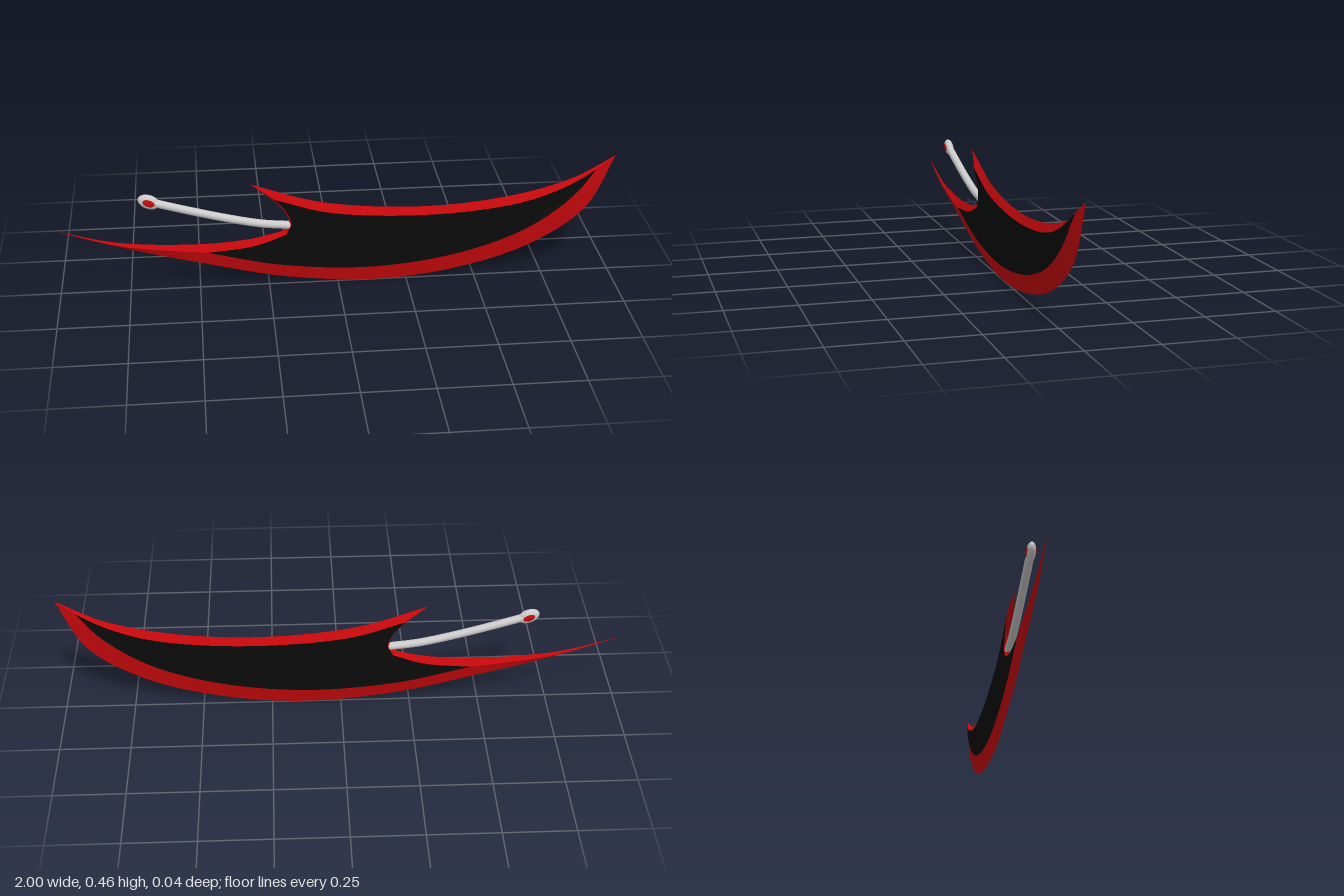
import * as THREE from 'three';

const HALF = 0.015; // half thickness of the blade
const STEPS = 12; // samples between two control points

const red = new THREE.MeshStandardMaterial({ color: 0xc8080c, side: THREE.DoubleSide });
const black = new THREE.MeshStandardMaterial({ color: 0x0b0b0b, side: THREE.DoubleSide });
const grey = new THREE.MeshStandardMaterial({ color: 0xcccccc });

const curve = (pts) => new THREE.CatmullRomCurve3(pts.map(([x, y]) => new THREE.Vector3(x, y, 0)));
const sample = (pts) => curve(pts).getPoints(STEPS * (pts.length - 1));

// Thickness fades towards both blade tips
const depth = (x) => HALF * Math.max(0, Math.min(1, (x + 1) / 0.5, (1 - x) / 0.11));

// Bevel from the sharp outer edge (z = 0) up to the raised inner line
function bevel(outer, inner, side) {
  const pos = [], index = [];
  outer.forEach((o, i) => {
    const n = inner[i];
    pos.push(o.x, o.y, 0, n.x, n.y, side * depth(n.x));
    if (i === 0) return;
    const a = 2 * (i - 1), b = a + 1, c = a + 2, d = a + 3;
    if (side > 0) index.push(a, c, b, b, c, d);
    else index.push(a, b, c, b, d, c);
  });
  const g = new THREE.BufferGeometry();
  g.setAttribute('position', new THREE.Float32BufferAttribute(pos, 3));
  g.setIndex(index);
  g.computeVertexNormals();
  return g;
}

// Flat panel inside the bevels
function panel(outline, side) {
  const g = new THREE.ShapeGeometry(new THREE.Shape(outline.map((p) => new THREE.Vector2(p.x, p.y))));
  const p = g.attributes.position;
  for (let i = 0; i < p.count; i++) p.setZ(i, side * depth(p.getX(i)));
  if (side < 0) g.index.array.reverse();
  g.computeVertexNormals();
  return g;
}

export function createModel() {
  const model = new THREE.Group();
  const add = (name, geometry, material, parent = model) => {
    const mesh = new THREE.Mesh(geometry, material);
    mesh.name = name;
    parent.add(mesh);
    return mesh;
  };

  // Inner lines, counter-clockwise
  const ridge = sample([[-1, 0.25], [-0.77, 0.182], [-0.47, 0.146]]);
  const lowerIn = sample([[-0.47, 0.146], [-0.2, 0.083], [0.13, 0.06], [0.44, 0.1], [0.68, 0.185], [0.84, 0.3], [0.93, 0.41]]);
  const upperIn = sample([[0.93, 0.41], [0.81, 0.343], [0.65, 0.29], [0.33, 0.26], [-0.03, 0.285], [-0.225, 0.345]]);
  const notchIn = sample([[-0.225, 0.345], [-0.185, 0.295], [-0.168, 0.25], [-0.187, 0.205]]);
  const tailIn = sample([[-0.187, 0.205], [-0.3, 0.165], [-0.47, 0.146]]);

  // Outer cutting edges paired with the inner lines
  const edges = {
    lowerEdge: [
      sample([[-1, 0.25], [-0.77, 0.173], [-0.47, 0.093], [-0.2, 0.03], [0.13, 0], [0.44, 0.033], [0.71, 0.12], [0.9, 0.255], [1, 0.46]]),
      [...ridge, ...lowerIn.slice(1)],
    ],
    upperEdge: [
      sample([[1, 0.46], [0.87, 0.385], [0.66, 0.322], [0.33, 0.288], [-0.05, 0.32], [-0.31, 0.402]]),
      upperIn,
    ],
    notchEdge: [
      sample([[-0.31, 0.402], [-0.212, 0.315], [-0.176, 0.25], [-0.205, 0.212]]),
      notchIn,
    ],
    tailEdge: [
      sample([[-0.205, 0.212], [-0.31, 0.188], [-0.48, 0.175], [-0.78, 0.194], [-1, 0.25]]),
      [...tailIn, ...ridge.slice(0, -1).reverse()],
    ],
  };

  // Panel outline without the repeated corners
  const outline = [lowerIn, upperIn, notchIn, tailIn].flatMap((line) => line.slice(0, -1));

  for (const [side, label] of [[1, 'Front'], [-1, 'Back']]) {
    for (const [name, [outer, inner]] of Object.entries(edges)) add(name + label, bevel(outer, inner, side), red);
    add('bladePanel' + label, panel(outline, side), black);
  }

  // Curved grip running into the notch
  const gripPath = curve([[-0.17, 0.235], [-0.28, 0.248], [-0.4, 0.275], [-0.55, 0.316], [-0.67, 0.352]]);
  add('grip', new THREE.TubeGeometry(gripPath, 40, 0.0145, 16), grey);

  // Flattened pommel with an inlay on each face
  const pommel = new THREE.Group();
  pommel.name = 'pommel';
  pommel.position.set(-0.669, 0.351, 0);
  pommel.rotation.z = -0.4;
  model.add(pommel);
  add('pommelBody', new THREE.SphereGeometry(1, 32, 20), grey, pommel).scale.set(0.04, 0.026, 0.0165);
  for (const side of [1, -1]) {
    const inlay = add('pommelInlay', new THREE.SphereGeometry(1, 24, 12), red, pommel);
    inlay.scale.set(0.022, 0.013, 0.004);
    inlay.position.z = side * 0.0135;
  }
  return model;
}
